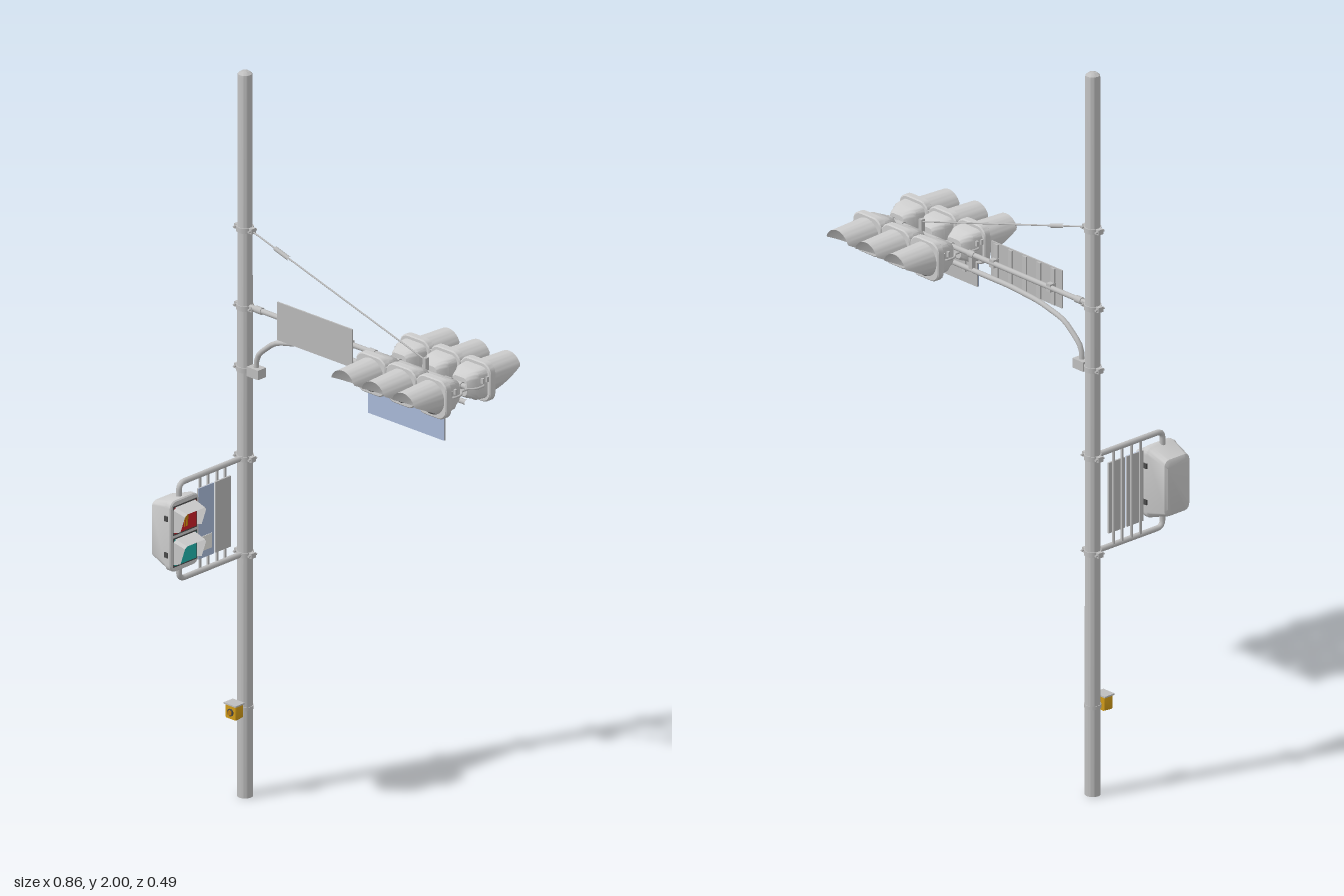
import * as THREE from 'three';
import { toCreasedNormals } from 'three/addons/utils/BufferGeometryUtils.js';

const mat = (name, color, side = THREE.FrontSide) => {
  const m = new THREE.MeshStandardMaterial({ color, side });
  m.name = name;
  return m;
};
const V = (x, y, z) => new THREE.Vector3(x, y, z);
const PX = -0.37, PZ = -0.055, SY = 1.342; // pole axis and signal height

export function createModel() {
  const root = new THREE.Group();
  const metal = mat('galvanised metal', 0xbebebe);
  const shell = mat('housing grey', 0xcccccc, THREE.DoubleSide);
  const dark = mat('dark rubber', 0x4a4a4a);
  const teal = mat('teal lens', 0x20b2aa);
  const amber = mat('amber lens', 0xc07d0c);
  const red = mat('red lens', 0xc81e28);
  const blue = mat('pale blue sign face', 0xa9b9d8);
  const plate = mat('sign plate', 0xbababa);
  const yellow = mat('yellow button box', 0xd09a18);
  const white = mat('white panel', 0xe8e8e4);

  const add = (parent, name, geo, material, x = 0, y = 0, z = 0) => {
    const m = new THREE.Mesh(geo, material);
    m.name = name;
    m.position.set(x, y, z);
    parent.add(m);
    return m;
  };
  const box = (p, name, w, h, d, m, x, y, z) => add(p, name, new THREE.BoxGeometry(w, h, d), m, x, y, z);
  const tube = (p, name, pts, r, m, seg = 8) => {
    const path = new THREE.CurvePath();
    // straight runs joined by rounded bends
    let from = pts[0];
    for (let i = 1; i < pts.length; i++) {
      const last = i === pts.length - 1;
      const bend = last ? 0 : Math.min(0.025, pts[i].distanceTo(pts[i - 1]) * 0.45, pts[i].distanceTo(pts[i + 1]) * 0.45);
      const a = pts[i].clone().add(pts[i - 1].clone().sub(pts[i]).setLength(bend));
      path.add(new THREE.LineCurve3(from, last ? pts[i] : a));
      if (!last) {
        from = pts[i].clone().add(pts[i + 1].clone().sub(pts[i]).setLength(bend));
        path.add(new THREE.QuadraticBezierCurve3(a, pts[i], from));
      }
    }
    return add(p, name, new THREE.TubeGeometry(path, pts.length > 2 ? 40 : 1, r, seg), m);
  };

  // Rounded-rectangle sections [z, halfWidth, halfHeight, cornerRadius] joined along z
  const loft = (sections) => {
    const pos = [], idx = [], n = 24;
    for (const [z, w, h, r] of sections)
      for (let i = 0; i < n; i++) {
        const q = Math.floor(i / 6), a = (q + (i % 6) / 5) * Math.PI / 2;
        const sx = q === 0 || q === 3 ? 1 : -1, sy = q < 2 ? 1 : -1;
        pos.push(sx * (w - r) + r * Math.cos(a), sy * (h - r) + r * Math.sin(a), z);
      }
    for (let s = 0; s < sections.length - 1; s++)
      for (let i = 0; i < n; i++) {
        const a = s * n + i, b = s * n + (i + 1) % n;
        idx.push(a, b, b + n, a, b + n, a + n);
      }
    const e = (sections.length - 1) * n;
    for (let i = 1; i < n - 1; i++) idx.push(0, i + 1, i, e, e + i, e + i + 1);
    const g = new THREE.BufferGeometry();
    g.setAttribute('position', new THREE.Float32BufferAttribute(pos, 3));
    g.setIndex(idx);
    return toCreasedNormals(g, 0.6);
  };

  // Open hood: each outline point [x, y, tipX, tipY, length] runs forward along z
  const hood = (outline) => {
    const pos = [], idx = [];
    outline.forEach(([x, y, tx, ty, l], i) => {
      pos.push(x, y, 0, tx, ty, l);
      if (i) idx.push(2 * i - 2, 2 * i - 1, 2 * i, 2 * i, 2 * i - 1, 2 * i + 1);
    });
    const g = new THREE.BufferGeometry();
    g.setAttribute('position', new THREE.Float32BufferAttribute(pos, 3));
    g.setIndex(idx);
    return toCreasedNormals(g, 0.6);
  };

  // Pole with domed cap
  const profile = [[0, 0], [0.0205, 0], [0.0195, 1.985], [0.0185, 1.992], [0.011, 1.998], [0, 2]];
  add(root, 'pole', toCreasedNormals(new THREE.LatheGeometry(profile.map(p => new THREE.Vector2(...p)), 28), 0.6), metal, PX, 0, PZ);

  // Pole clamps with bolt lugs
  for (const y of [1.565, 1.35, 1.18, 0.935, 0.67]) {
    add(root, 'poleClamp', new THREE.CylinderGeometry(0.0225, 0.0225, 0.014, 28), metal, PX, y, PZ);
    for (const s of [-1, 1]) {
      box(root, 'clampLug', 0.01, 0.014, 0.016, metal, PX + s * 0.026, y, PZ);
      const bolt = add(root, 'clampBolt', new THREE.CylinderGeometry(0.003, 0.003, 0.03, 8), metal, PX + s * 0.026, y, PZ);
      bolt.rotation.x = Math.PI / 2;
    }
  }

  // Mast arm: straight upper tube, curved lower tube
  tube(root, 'upperArm', [V(PX, 1.353, PZ), V(0.41, 1.353, PZ)], 0.007, metal, 12);
  tube(root, 'lowerArm', [V(-0.33, 1.17, PZ), V(-0.33, 1.225, PZ), V(-0.265, 1.28, PZ), V(-0.17, 1.302, PZ), V(-0.06, 1.31, PZ), V(0.41, 1.31, PZ)], 0.007, metal, 12);
  box(root, 'armFoot', 0.04, 0.026, 0.03, metal, -0.33, 1.18, PZ);
  for (const x of [-0.32, 0.08, 0.165, 0.345, 0.385])
    add(root, 'armCollar', new THREE.CylinderGeometry(0.0095, 0.0095, 0.022, 12), metal, x, 1.353, PZ).rotation.z = Math.PI / 2;
  for (const x of [0.08, 0.165, 0.375]) box(root, 'armStrut', 0.012, 0.055, 0.012, metal, x, 1.332, PZ);

  // Stay cable with turnbuckle
  const c0 = V(PX + 0.02, 1.565, PZ), c1 = V(0.267, 1.385, PZ);
  tube(root, 'stayCable', [c0, c1], 0.0022, metal, 6);
  tube(root, 'turnbuckle', [c0.clone().lerp(c1, 0.14), c0.clone().lerp(c1, 0.22)], 0.006, metal, 8);
  box(root, 'cableAnchor', 0.01, 0.045, 0.012, metal, 0.267, 1.37, PZ);

  // Sign on the arm with rear stiffeners
  box(root, 'armSign', 0.264, 0.105, 0.004, plate, -0.108, 1.352, -0.039);
  for (let i = 0; i < 5; i++)
    box(root, 'signStiffener', 0.014, 0.1, 0.005, metal, -0.21 + i * 0.053, 1.352, -0.0435);
  for (const x of [-0.21, 0.002]) box(root, 'signBracket', 0.016, 0.022, 0.02, metal, x, 1.353, PZ + 0.004);

  // Three-lamp vehicle signal; local origin lies on the arm and lamps face +z
  const bodyGeo = loft([[0.013, 0.025, 0.025, 0.012], [0.018, 0.03, 0.03, 0.015], [0.036, 0.037, 0.037, 0.017],
    [0.043, 0.041, 0.041, 0.018], [0.073, 0.044, 0.044, 0.02]]);
  const rimGeo = loft([[0.07, 0.05, 0.051, 0.026], [0.073, 0.053, 0.054, 0.028], [0.089, 0.053, 0.054, 0.028], [0.092, 0.05, 0.051, 0.026]]);
  const arc = [];
  for (let i = 0; i <= 40; i++) {
    const a = (i / 20 - 1) * 2.6, s = Math.sin(a), c = Math.cos(a);
    const l = 0.103 * THREE.MathUtils.clamp((c + 0.9) / 1.2, 0, 1);
    const r = 0.046 - 0.04 * l;
    arc.push([s * 0.046, c * 0.046, s * r, c * r, l]);
  }
  const visorGeo = hood(arc);
  const lensGeo = new THREE.SphereGeometry(0.041, 28, 6, 0, Math.PI * 2, 0, Math.PI / 2);
  lensGeo.rotateX(Math.PI / 2).scale(1, 1, 0.25);
  const makeSignal = (name) => {
    const g = new THREE.Group();
    g.name = name;
    [teal, amber, red].forEach((lens, i) => {
      const x = (i - 1) * 0.107;
      add(g, 'lampHousing', bodyGeo, shell, x);
      add(g, 'lampRim', rimGeo, shell, x);
      add(g, 'lampVisor', visorGeo, shell, x, 0, 0.092);
      add(g, 'lensGasket', new THREE.RingGeometry(0.04, 0.0455, 32), dark, x, 0, 0.093);
      add(g, 'lens', lensGeo, lens, x, 0, 0.0925);
    });
    box(g, 'rimJoiner', 0.214, 0.07, 0.014, shell, 0, 0, 0.081);
    // End brackets curling from the arm to the housing sides
    for (const s of [-1, 1]) {
      tube(g, 'endBracket', [V(s * 0.137, 0, 0), V(s * 0.137, 0, 0.012), V(s * 0.153, 0, 0.028), V(s * 0.153, 0, 0.055), V(s * 0.143, 0, 0.06)], 0.003, metal);
      for (const z of [0.05, 0.066]) box(g, 'hinge', 0.008, 0.014, 0.006, metal, s * 0.152, 0.015, z);
    }
    g.position.set(0.267, SY, PZ);
    root.add(g);
    return g;
  };
  makeSignal('frontSignal');
  makeSignal('rearSignal').rotation.y = Math.PI;

  // Sign hanging below the front signal
  box(root, 'hangingSign', 0.268, 0.066, 0.004, plate, 0.269, 1.258, 0.016);
  box(root, 'hangingSignFace', 0.268, 0.066, 0.002, blue, 0.269, 1.258, 0.019);
  for (const x of [0.18, 0.36]) box(root, 'signHanger', 0.012, 0.06, 0.005, metal, x, 1.285, 0.0115);

  // Pedestrian signal, facing +x
  const ped = new THREE.Group();
  ped.name = 'pedestrianSignal';
  ped.position.set(PX, 0.803, 0.185);
  ped.rotation.y = Math.PI / 2;
  root.add(ped);
  add(ped, 'pedestrianHousing', loft([[-0.062, 0.036, 0.07, 0.014], [-0.057, 0.043, 0.078, 0.016], [-0.005, 0.05, 0.095, 0.018],
    [0, 0.053, 0.098, 0.02], [0.015, 0.053, 0.098, 0.02], [0.018, 0.05, 0.095, 0.018]]), shell);
  const pedVisor = hood([[-0.043, -0.033, -0.039, -0.026, 0.022], [-0.043, 0.03, -0.039, 0.02, 0.038], [-0.036, 0.037, -0.033, 0.027, 0.04],
    [0.036, 0.037, 0.033, 0.027, 0.04], [0.043, 0.03, 0.039, 0.02, 0.038], [0.043, -0.033, 0.039, -0.026, 0.022]]);
  for (const [y, lens] of [[0.044, red], [-0.044, teal]]) {
    box(ped, 'lensFrame', 0.088, 0.08, 0.002, dark, 0, y, 0.0185);
    box(ped, 'pedestrianLens', 0.08, 0.072, 0.003, lens, 0, y, 0.0195);
    add(ped, 'pedestrianVisor', pedVisor, shell, 0, y, 0.018);
  }
  // Simple standing figure on the red lens
  box(ped, 'figureHead', 0.009, 0.009, 0.002, amber, 0, 0.064, 0.0215);
  box(ped, 'figureBody', 0.016, 0.02, 0.002, amber, 0, 0.047, 0.0215);
  for (const s of [-1, 1]) {
    box(ped, 'figureLeg', 0.005, 0.018, 0.002, amber, s * 0.004, 0.028, 0.0215);
    for (const y of [-0.05, 0.05]) box(ped, 'latch', 0.006, 0.014, 0.012, dark, s * 0.053, y, 0.004);
  }

  // Bracket tubes holding the pedestrian signal
  for (const [y, end] of [[0.935, 0.89], [0.67, 0.715]])
    tube(root, 'pedestrianBracket', [V(PX, y, PZ), V(PX, y, 0.188), V(PX, end, 0.188)], 0.0075, metal, 12);
  for (const z of [0.107, 0.077, 0.044, 0.014])
    box(root, 'signPost', 0.005, 0.265, 0.006, metal, PX - 0.004, 0.8025, z);

  // Upright signs beside the pedestrian signal
  for (const [z, face] of [[0.0925, blue], [0.029, plate]]) {
    box(root, 'uprightSign', 0.003, 0.195, 0.057, plate, PX + 0.001, 0.8025, z);
    box(root, 'uprightSignFace', 0.002, 0.195, 0.057, face, PX + 0.0035, 0.8025, z);
  }
  box(root, 'signPanel', 0.002, 0.04, 0.04, white, PX + 0.005, 0.745, 0.0925);

  // Push-button box on the pole
  const button = new THREE.Group();
  button.name = 'pushButton';
  button.position.set(PX, 0.246, -0.03);
  root.add(button);
  add(button, 'buttonBox', loft([[0, 0.017, 0.019, 0.004], [0.024, 0.019, 0.02, 0.004], [0.028, 0.018, 0.019, 0.004]]), yellow);
  box(button, 'buttonHood', 0.042, 0.004, 0.034, metal, 0, 0.0205, 0.015);
  add(button, 'buttonRing', new THREE.CylinderGeometry(0.01, 0.01, 0.004, 20).rotateX(Math.PI / 2), dark, 0, -0.001, 0.029);
  add(button, 'button', new THREE.CylinderGeometry(0.007, 0.007, 0.005, 20).rotateX(Math.PI / 2), amber, 0, -0.001, 0.0305);
  add(root, 'buttonStrap', new THREE.CylinderGeometry(0.022, 0.022, 0.01, 28), metal, PX, 0.246, PZ);

  return root;
}
